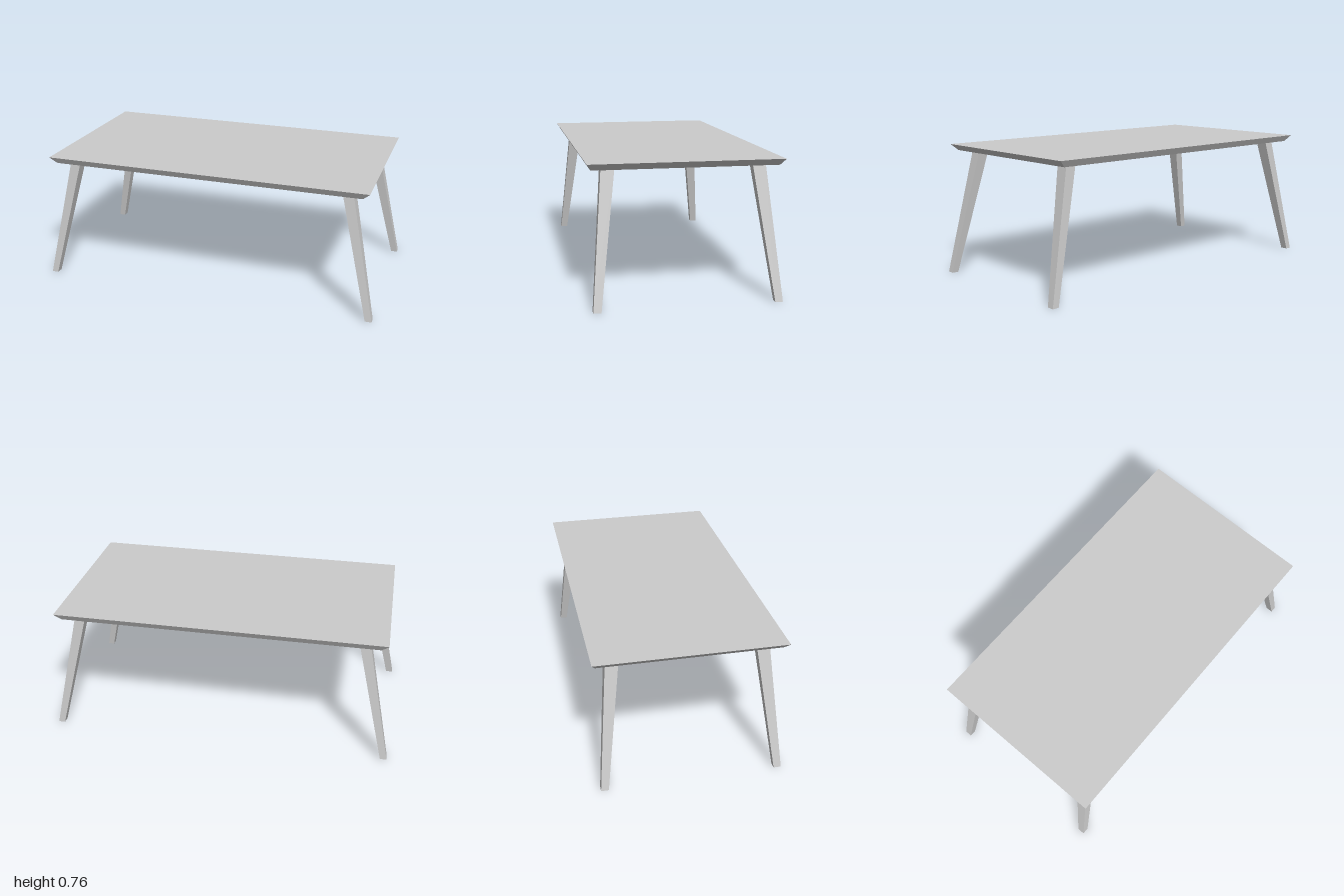
import * as THREE from 'three';

const material = new THREE.MeshStandardMaterial({ color: 0xcccccc, flatShading: true });

// Box whose bottom and top rectangles are given as [x0, x1, z0, z1]
function taperedBox(name, y0, bottom, y1, top) {
  const geometry = new THREE.BoxGeometry(1, 1, 1);
  const p = geometry.attributes.position;
  for (let i = 0; i < p.count; i++) {
    const upper = p.getY(i) > 0;
    const r = upper ? top : bottom;
    p.setXYZ(i, p.getX(i) > 0 ? r[1] : r[0], upper ? y1 : y0, p.getZ(i) > 0 ? r[3] : r[2]);
  }
  geometry.computeVertexNormals();
  const mesh = new THREE.Mesh(geometry, material);
  mesh.name = name;
  return mesh;
}

// Mirror a rectangle by the signs of x and z, keeping its ranges ascending
function mirrored([x0, x1, z0, z1], sx, sz) {
  return [...(sx > 0 ? [x0, x1] : [-x1, -x0]), ...(sz > 0 ? [z0, z1] : [-z1, -z0])];
}

export function createModel() {
  const table = new THREE.Group();
  table.name = 'table';
  const underside = 0.724;

  // Tabletop with an undercut bevelled edge
  table.add(taperedBox('tabletop', underside, [-0.908, 0.908, -0.501, 0.501],
    0.761, [-0.948, 0.948, -0.523, 0.523]));

  // Four splayed legs, narrowing towards the floor
  const foot = [0.962, 1, 0.465, 0.507];
  const head = [0.787, 0.848, 0.37, 0.442];
  for (const sx of [1, -1]) {
    for (const sz of [1, -1]) {
      const name = (sz > 0 ? 'front' : 'back') + (sx > 0 ? 'Left' : 'Right') + 'Leg';
      table.add(taperedBox(name, 0, mirrored(foot, sx, sz), underside, mirrored(head, sx, sz)));
    }
  }
  return table;
}
